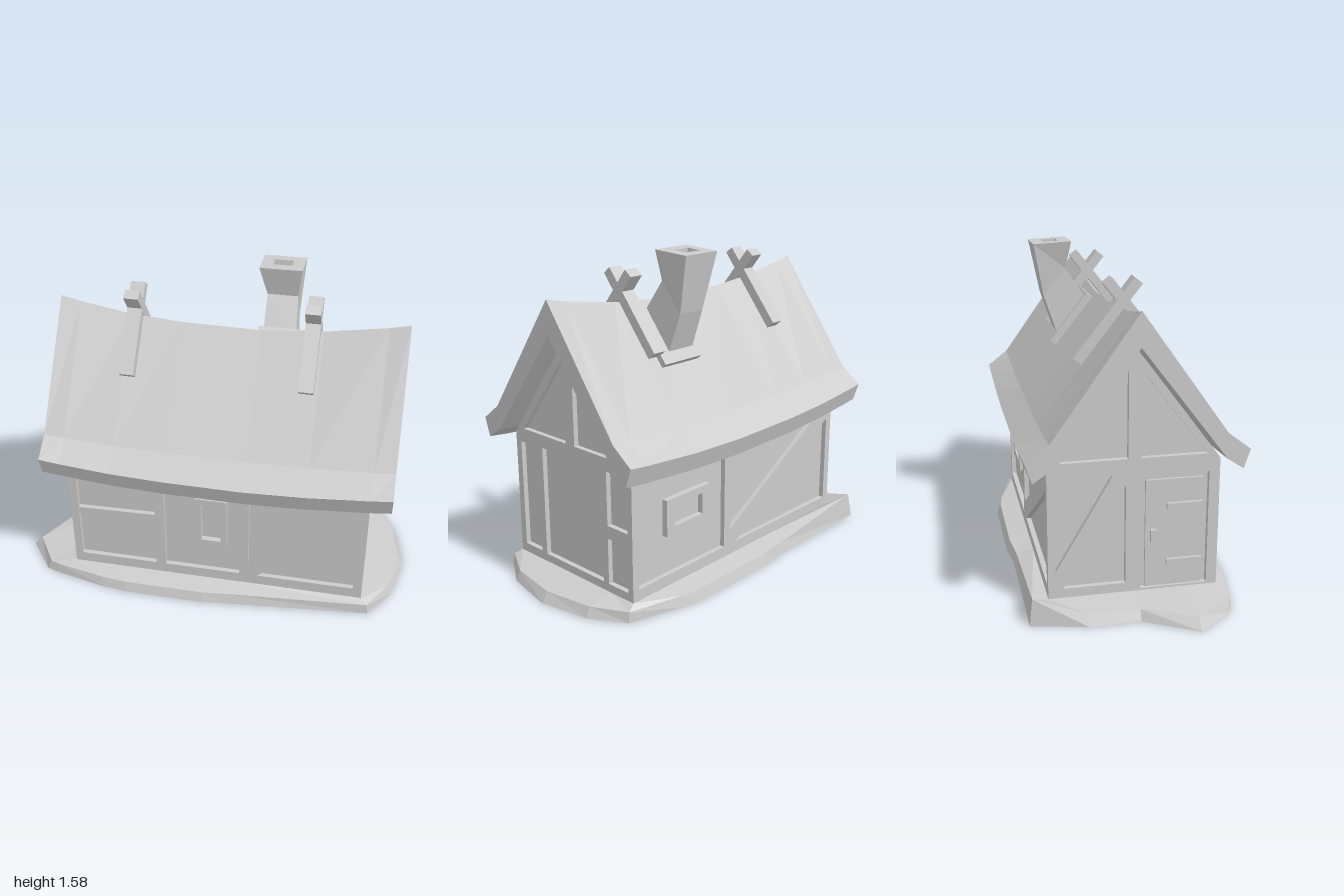
import * as THREE from 'three';

const material = new THREE.MeshStandardMaterial({ color: 0xcccccc, flatShading: true, side: THREE.DoubleSide });
const RECESS = 0.025;

function addMesh(parent, name, geometry) {
  const mesh = new THREE.Mesh(geometry, material);
  mesh.name = name;
  parent.add(mesh);
  return mesh;
}

// Skin a series of equal-length rings of [x, y, z] points, with optional strip caps
function loft(rings, capStart, capEnd) {
  const n = rings[0].length, index = [];
  for (let j = 0; j < rings.length - 1; j++) {
    for (let i = 0; i < n; i++) {
      const k = (i + 1) % n;
      const a = j * n + i, b = j * n + k, c = b + n, d = a + n;
      index.push(a, b, d, b, c, d);
    }
  }
  const last = (rings.length - 1) * n;
  for (let i = 0; i < n / 2 - 1; i++) {
    const a = i, b = i + 1, c = n - 2 - i, d = n - 1 - i;
    if (capStart) index.push(a, d, b, b, d, c);
    if (capEnd) index.push(last + a, last + b, last + d, last + b, last + c, last + d);
  }
  const geometry = new THREE.BufferGeometry();
  geometry.setAttribute('position', new THREE.Float32BufferAttribute(rings.flat(2), 3));
  geometry.setIndex(index);
  geometry.computeVertexNormals();
  return geometry;
}

const toPoints = (list) => list.map(([u, y]) => new THREE.Vector2(u, y));
const rect = (u0, u1, y0, y1) => [[u0, y0], [u1, y0], [u1, y1], [u0, y1]];

function framed(outline, openings, depth) {
  const shape = new THREE.Shape(toPoints(outline));
  for (const hole of openings) shape.holes.push(new THREE.Path(toPoints(hole)));
  return new THREE.ExtrudeGeometry(shape, { depth, bevelEnabled: false });
}

// Timber wall: a frame with openings in front of a plaster sheet
function makeWall(parent, name, outline, openings, angle, distance) {
  const wall = new THREE.Group();
  wall.name = name;
  addMesh(wall, 'timberFrame', framed(outline, openings, RECESS));
  addMesh(wall, 'plaster', new THREE.ShapeGeometry(new THREE.Shape(toPoints(outline))));
  wall.rotation.y = angle;
  wall.position.set(Math.sin(angle), 0, Math.cos(angle)).multiplyScalar(distance - RECESS);
  parent.add(wall);
  return wall;
}

export function createModel() {
  const house = new THREE.Group();
  house.name = 'house';

  // Irregular stone base, sloping up to the foot of the walls
  const outline = [
    [-0.8, 0.44], [-0.53, 0.5], [-0.4, 0.515], [0, 0.515], [0.12, 0.5], [0.84, 0.43], [0.95, 0.26],
    [1, 0], [0.95, -0.25], [0.85, -0.42], [0.58, -0.5], [0.48, -0.52], [0, -0.52], [-0.17, -0.5],
    [-0.8, -0.5], [-0.86, -0.24], [-0.86, 0], [-1, 0.24], [-0.86, 0.42],
  ];
  const RAISED = 14;
  const clampToWall = ([x, z]) => [Math.min(0.8, Math.max(-0.7, x)), Math.min(0.4, Math.max(-0.4, z))];
  const baseRing = (inset, y) => outline.map(([x, z], i) => {
    const [wx, wz] = clampToWall([x, z]);
    const height = i === RAISED && inset > 0 && inset < 1 ? 0.125 : y;
    return [x + (wx - x) * inset, height, z + (wz - z) * inset];
  });
  addMesh(house, 'base', loft([baseRing(0, 0), baseRing(0.15, 0.05), baseRing(1, 0.07)]));

  // Front wall: two panels, a window bay and a braced bay
  const front = makeWall(house, 'frontWall', rect(-0.7, 0.8, 0.06, 0.69), [
    [[-0.66, 0.425], [-0.26, 0.435], [-0.26, 0.645], [-0.66, 0.65]],
    [[-0.66, 0.125], [-0.26, 0.125], [-0.26, 0.37], [-0.66, 0.385]],
    rect(-0.21, 0.175, 0.125, 0.635),
    [[0.22, 0.18], [0.7, 0.645], [0.22, 0.635]],
    [[0.27, 0.125], [0.755, 0.125], [0.755, 0.595]],
  ], 0, 0.4);
  addMesh(front, 'windowFrame', framed(rect(-0.05, 0.11, 0.28, 0.57), [rect(-0.02, 0.08, 0.32, 0.535)], 0.03));

  // Back wall: a window bay and a wide braced bay
  const back = makeWall(house, 'backWall', rect(-0.8, 0.7, 0.06, 0.69), [
    rect(-0.765, -0.18, 0.125, 0.64),
    [[-0.14, 0.2], [0.6, 0.645], [-0.14, 0.635]],
    [[-0.09, 0.125], [0.66, 0.125], [0.66, 0.585]],
  ], Math.PI, 0.4);
  addMesh(back, 'windowFrame', framed(rect(-0.585, -0.295, 0.32, 0.5), [rect(-0.535, -0.345, 0.36, 0.465)], 0.03));

  // Gable walls
  const gable = [[-0.4, 0.06], [0.4, 0.06], [0.4, 0.7], [0, 1.235], [-0.4, 0.7]];
  const gablePanels = [
    [[-0.34, 0.725], [-0.03, 0.725], [-0.03, 1.13]],
    [[0.03, 0.725], [0.34, 0.725], [0.03, 1.13]],
  ];
  makeWall(house, 'rightWall', gable, [
    ...gablePanels,
    rect(-0.365, -0.24, 0.115, 0.655),
    rect(-0.205, 0.205, 0.11, 0.66),
    rect(0.24, 0.37, 0.4, 0.66),
    [[0.24, 0.11], [0.37, 0.11], [0.37, 0.35], [0.24, 0.335]],
  ], Math.PI / 2, 0.8);
  const left = makeWall(house, 'leftWall', gable, [
    ...gablePanels,
    [[-0.365, 0.2], [-0.1, 0.65], [-0.365, 0.65]],
    [[-0.33, 0.115], [-0.04, 0.115], [-0.04, 0.6]],
    rect(0.03, 0.35, 0.08, 0.64),
  ], -Math.PI / 2, 0.7);

  // Door with hinges and handle
  const doorBox = (name, w, h, d, u, y, z) =>
    addMesh(left, name, new THREE.BoxGeometry(w, h, d)).position.set(u, y, z);
  doorBox('door', 0.27, 0.53, 0.012, 0.19, 0.345, 0.006);
  for (const y of [0.2, 0.48]) doorBox('hinge', 0.17, 0.03, 0.02, 0.24, y, 0.018);
  doorBox('doorHandle', 0.025, 0.06, 0.025, 0.09, 0.34, 0.02);

  // Sagging roof: half profile as [z, y, sag], outer side then inner side
  const outer = [[0, 1.412, 0.094], [0.4, 0.85, 0.03], [0.505, 0.77, 0.05]];
  const inner = [[0, 1.255, 0.094], [0.4, 0.73, 0.04], [0.475, 0.68, 0.05]];
  const mirrored = (half) => [...half.slice(1).reverse().map(([z, y, s]) => [-z, y, s]), ...half];
  const profile = [...mirrored(outer), ...mirrored(inner).reverse()];
  const stations = [[-0.8, 1], [-0.7, 0.76], [-0.45, 0.3], [-0.2, 0.07], [0.2, 0], [0.5, 0.25], [0.8, 0.76], [0.9, 1]];
  const roofRings = stations.map(([x, lift]) => profile.map(([z, y, sag]) => [x, y - sag * (1 - lift), z]));
  addMesh(house, 'roof', loft(roofRings, true, true));

  // Crossed ridge poles
  const pitch = 0.902;
  for (const x of [-0.42, 0.448]) {
    for (const side of [1, -1]) {
      const pole = addMesh(house, 'ridgePole', new THREE.BoxGeometry(0.072, 0.048, 0.46));
      pole.position.set(x, 1.3, 0.0725 * side);
      pole.rotation.x = pitch * side;
    }
  }

  // Chimney: leaning foot, flared stack and hollow top, standing on a slab
  const slab = addMesh(house, 'chimneySlab', new THREE.BoxGeometry(0.245, 0.045, 0.31));
  slab.position.set(0.297, 1.18, -0.128);
  slab.rotation.x = -pitch;
  const chimneyRing = (x0, x1, zFront, yFront, zBack, yBack) => [
    [x0, yFront, zFront], [x1, yFront, zFront], [x1, yBack, zBack], [x0, yBack, zBack],
  ];
  addMesh(house, 'chimney', loft([
    chimneyRing(0.2, 0.36, -0.04, 1.27, -0.2, 1.1),
    chimneyRing(0.2, 0.35, -0.155, 1.44, -0.268, 1.3),
    chimneyRing(0.16, 0.368, -0.13, 1.582, -0.322, 1.572),
    chimneyRing(0.215, 0.31, -0.19, 1.58, -0.265, 1.575),
    chimneyRing(0.225, 0.31, -0.19, 1.48, -0.255, 1.47),
  ], true, true));

  return house;
}
